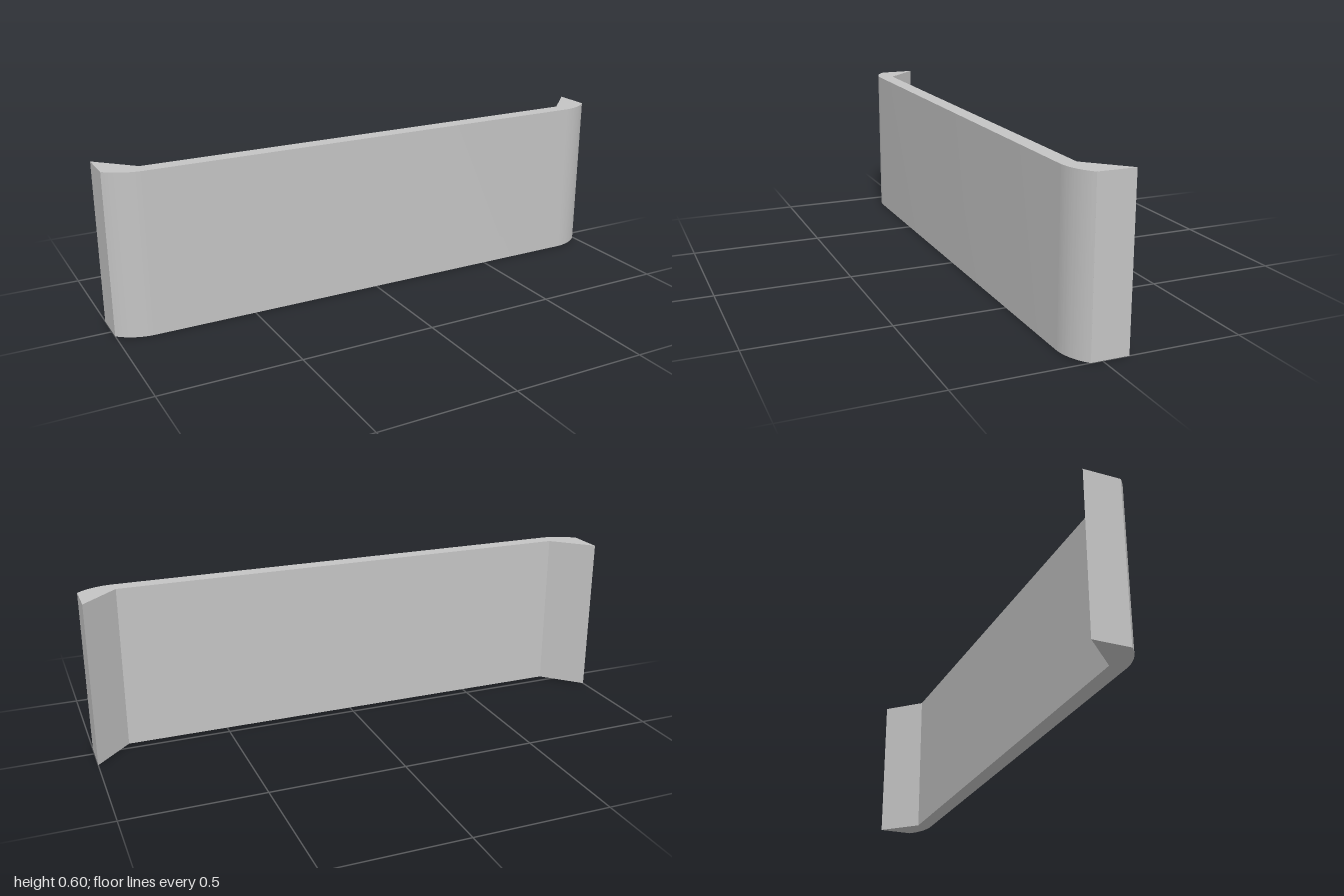
import * as THREE from 'three';
import { toCreasedNormals } from 'three/addons/utils/BufferGeometryUtils.js';

export function createModel() {
  const group = new THREE.Group();
  group.name = 'channelPanel';

  const grey = new THREE.MeshStandardMaterial({ color: 0xc4c4c4 });
  grey.name = 'plainGrey';

  const HEIGHT = 0.595;
  const FRONT = 0.094; // half the depth
  const BEND = 0.87; // where the ends start to turn back
  const RADIUS = 0.184; // rounded front corners, an eighth of a turn
  const INNER = 0.036; // rear face of the thin panel

  // Cross-section seen from above, with shape y pointing to the back
  const section = new THREE.Shape();
  section.moveTo(-BEND, -FRONT);
  section.lineTo(BEND, -FRONT);
  section.absarc(BEND, RADIUS - FRONT, RADIUS, -Math.PI / 2, -Math.PI / 4, false);
  section.lineTo(1, -0.04);
  section.lineTo(1, FRONT);
  section.lineTo(BEND, -INNER);
  section.lineTo(-BEND, -INNER);
  section.lineTo(-1, FRONT);
  section.lineTo(-1, -0.04);
  section.absarc(-BEND, RADIUS - FRONT, RADIUS, -Math.PI * 0.75, -Math.PI / 2, false);

  // Extrude upwards, smooth on the rounded corners and sharp elsewhere
  const extruded = new THREE.ExtrudeGeometry(section, {
    depth: HEIGHT, bevelEnabled: false, curveSegments: 16,
  });
  extruded.rotateX(-Math.PI / 2);

  const panel = new THREE.Mesh(toCreasedNormals(extruded, Math.PI / 6), grey);
  panel.name = 'panelWithAngledEnds';
  group.add(panel);
  return group;
}
